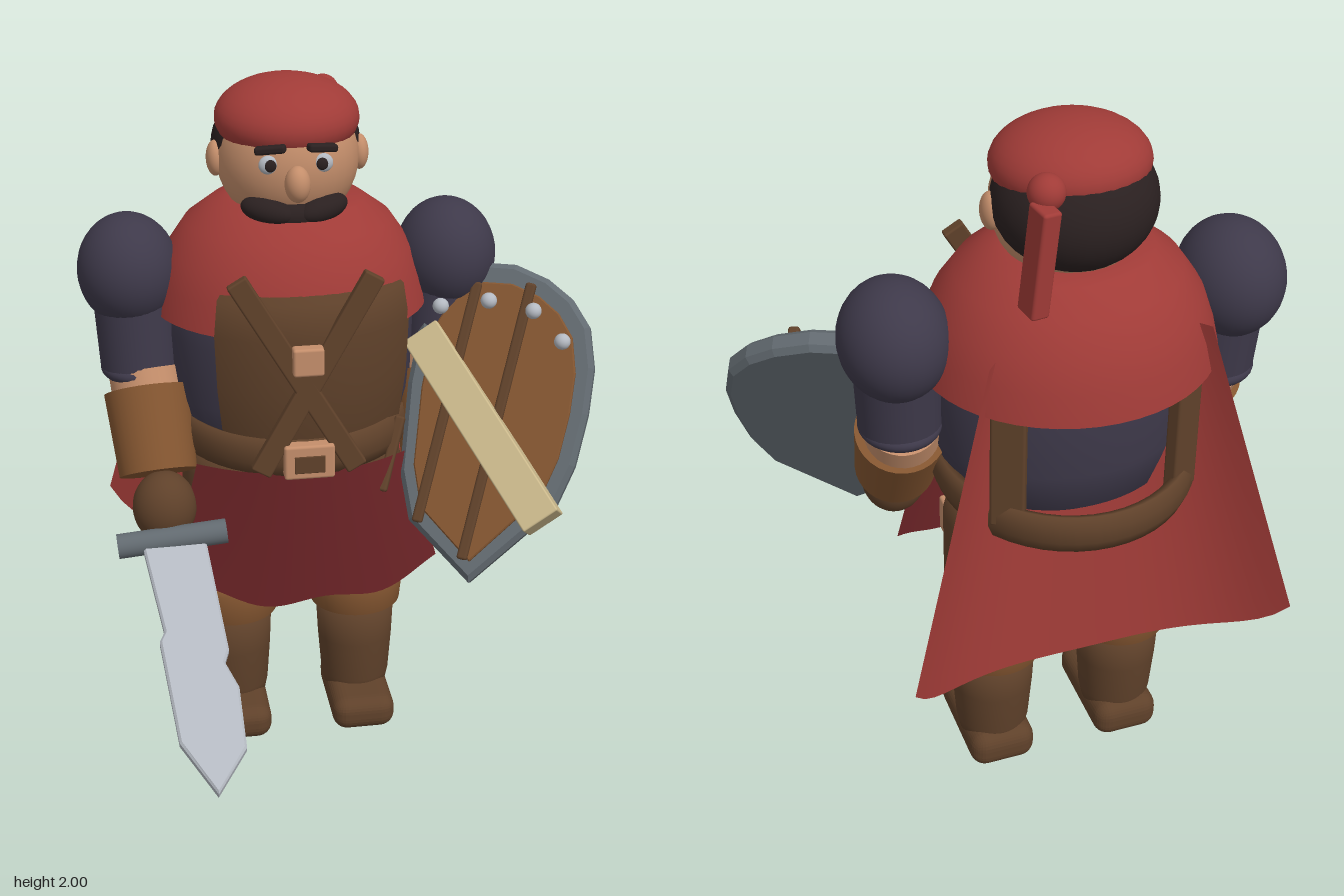
import * as THREE from 'three';
import { RoundedBoxGeometry } from 'three/addons/geometries/RoundedBoxGeometry.js';

const V = (x, y, z) => new THREE.Vector3(x, y, z);

export function createModel() {
  const paint = (name, color, side = THREE.FrontSide) => {
    const m = new THREE.MeshStandardMaterial({ color, side });
    m.name = name;
    return m;
  };
  const red = paint('red cloth', 0xa03b37, THREE.DoubleSide);
  const darkRed = paint('dark red cloth', 0x6b2326, THREE.DoubleSide);
  const purple = paint('dark purple tunic', 0x3e394a, THREE.DoubleSide);
  const brown = paint('dark leather', 0x5f412a, THREE.DoubleSide);
  const tan = paint('light leather', 0x835530);
  const skin = paint('skin', 0xc48e6b);
  const hair = paint('black hair', 0x2a2020);
  const steel = paint('light steel', 0xb4b9c1);
  const slate = paint('dark steel', 0x626a70);
  const wood = paint('pale wood', 0xcbb98c);

  const root = new THREE.Group();
  root.name = 'warrior';
  // The figure stands a little to the right of the centre line
  const body = new THREE.Group();
  body.name = 'body';
  body.position.x = -0.115;
  root.add(body);

  const add = (parent, name, geo, mat, x = 0, y = 0, z = 0) => {
    const m = new THREE.Mesh(geo, mat);
    m.name = name;
    m.position.set(x, y, z);
    parent.add(m);
    return m;
  };
  const ball = (parent, name, mat, x, y, z, rx, ry = rx, rz = rx) => {
    const m = add(parent, name, new THREE.SphereGeometry(1, 32, 20), mat, x, y, z);
    m.scale.set(rx, ry, rz);
    return m;
  };
  const box = (parent, name, mat, x, y, z, w, h, d, r = 0.008) =>
    add(parent, name, new RoundedBoxGeometry(w, h, d, 2, r), mat, x, y, z);
  // Turned part with an oval plan; points are [radius, height], bottom to top
  const turned = (parent, name, mat, pts, x, z, sx = 1, sz = 1, start = 0, length = Math.PI * 2) => {
    const m = add(parent, name, new THREE.LatheGeometry(
      pts.map(p => new THREE.Vector2(...p)), 48, start, length), mat, x, 0, z);
    m.scale.set(sx, 1, sz);
    return m;
  };
  // Place a mesh so its y axis runs from a to b
  const span = (mesh, a, b) => {
    mesh.position.copy(a).lerp(b, 0.5);
    mesh.quaternion.setFromUnitVectors(V(0, 1, 0), b.clone().sub(a).normalize());
  };
  // Tapered round limb between two points
  const limb = (parent, name, mat, a, b, ra, rb) =>
    span(add(parent, name, new THREE.CylinderGeometry(rb, ra, a.distanceTo(b), 32), mat), a, b);
  // Cloth sheet: rule maps u in -1..1 and t in 0..1 (top to hem) to a point
  const sheet = (name, mat, rule) => {
    const geo = new THREE.PlaneGeometry(2, 1, 32, 16);
    const p = geo.attributes.position;
    for (let i = 0; i < p.count; i++) p.setXYZ(i, ...rule(p.getX(i), 0.5 - p.getY(i)));
    geo.computeVertexNormals();
    return add(body, name, geo, mat);
  };

  // Torso, leather apron, mantle and belt
  turned(body, 'torso', purple, [[0, 0.93], [0.22, 0.94], [0.3, 1.0], [0.33, 1.12], [0.335, 1.3],
    [0.32, 1.45], [0.2, 1.58], [0, 1.6]], 0, -0.308, 1.04, 0.86);
  turned(body, 'apron', brown, [[0.29, 0.95], [0.325, 1.05], [0.345, 1.2], [0.352, 1.36],
    [0.336, 1.46], [0.24, 1.54]], 0, -0.326, 1.07, 1, -0.7, 1.65);
  turned(body, 'mantle', red, [[1, 1.36], [0.955, 1.44], [0.88, 1.52], [0.74, 1.6], [0.55, 1.655],
    [0.4, 1.67], [0, 1.67]], 0, -0.345, 0.392, 0.362);
  turned(body, 'belt', brown, [[0.94, 0.98], [1.02, 0.965], [1.06, 1.0], [1.06, 1.04], [1.02, 1.075],
    [0.94, 1.06], [0.94, 0.98]], 0, -0.338, 0.33, 0.354);

  // Cross straps, back straps and buckles
  for (const s of [-1, 1]) {
    const a = V(-s * 0.135, 0.99, 0.035), b = V(s * 0.187, 1.54, 0.012);
    span(box(body, 'chestStrap', brown, 0, 0, 0, 0.06, a.distanceTo(b), 0.03, 0.006), a, b);
    const backStrap = box(body, 'backStrap', brown, s * 0.235, 1.21, -0.573, 0.09, 0.4, 0.04);
    backStrap.rotation.y = -s * 0.5;
    // Small buckled strap hanging behind the skirt
    box(body, 'hangingBuckle', skin, s * 0.255, 0.725, -0.155, 0.05, 0.11, 0.04);
  }
  box(body, 'chestBuckle', skin, 0, 1.315, 0.042, 0.085, 0.08, 0.04);
  box(body, 'beltBuckle', skin, 0, 1.02, 0.035, 0.14, 0.1, 0.05);
  box(body, 'buckleCentre', brown, 0, 1.015, 0.06, 0.085, 0.05, 0.008, 0.002);

  // Front skirt and cape
  sheet('skirt', darkRed, (u, t) => [u * (0.3 + 0.09 * t),
    0.97 - t * (0.41 - 0.05 * u * u + 0.015 * Math.cos(u * 7 - 4)), 0.02 - 0.11 * u * u]);
  sheet('cape', red, (u, t) => [u * (0.29 + 0.24 * t), 1.5 - t * (1.0 - 0.04 * u * u - 0.08 * u ** 10),
    THREE.MathUtils.lerp(-0.47 - 0.09 * t, -0.585 - 0.125 * t, Math.abs(u) ** 3)]);

  // Head and face
  ball(body, 'head', skin, 0, 1.78, -0.335, 0.198, 0.2, 0.198);
  const scalp = ball(body, 'hair', hair, 0, 1.805, -0.372, 0.208, 0.168, 0.195);
  scalp.rotation.x = -0.25;
  const cap = ball(body, 'cap', red, 0, 1.888, -0.335, 0.2, 0.111, 0.193);
  cap.rotation.x = 0.08;
  ball(body, 'nose', skin, 0, 1.755, -0.128, 0.035, 0.05, 0.04);
  ball(body, 'moustacheCentre', hair, 0, 1.655, -0.168, 0.085, 0.037, 0.035);
  for (const s of [-1, 1]) {
    ball(body, 'ear', skin, s * 0.2, 1.78, -0.33, 0.026, 0.05, 0.037);
    ball(body, 'eye', steel, s * 0.073, 1.803, -0.158, 0.028, 0.026, 0.016);
    ball(body, 'pupil', hair, s * 0.07, 1.803, -0.146, 0.016, 0.017, 0.008);
    const brow = box(body, 'eyebrow', hair, s * 0.07, 1.848, -0.145, 0.085, 0.022, 0.03);
    brow.rotation.set(0, s * 0.3, -s * 0.12);
    const half = ball(body, 'moustache', hair, s * 0.075, 1.67, -0.18, 0.078, 0.037, 0.042);
    half.rotation.set(0, s * 0.45, s * 0.15);
  }
  // Cap knot with hanging ribbon
  ball(body, 'capKnot', red, 0.125, 1.91, -0.505, 0.046);
  const ribbon = box(body, 'capRibbon', red, 0.155, 1.755, -0.547, 0.05, 0.29, 0.072);
  ribbon.rotation.set(-0.05, 0.2, 0.08);

  // Arms and legs, mirrored
  for (const s of [-1, 1]) {
    const arm = new THREE.Group();
    arm.name = s > 0 ? 'leftArm' : 'rightArm';
    body.add(arm);
    ball(arm, 'shoulder', purple, s * 0.453, 1.47, -0.338, 0.142, 0.16, 0.16);
    limb(arm, 'sleeve', purple, V(s * 0.436, 1.19, -0.31), V(s * 0.445, 1.42, -0.325), 0.108, 0.112);
    ball(arm, 'sleeveEnd', purple, s * 0.436, 1.19, -0.31, 0.109, 0.045, 0.115);
    limb(arm, 'elbow', skin, V(s * 0.415, 1.08, -0.25), V(s * 0.425, 1.18, -0.295), 0.1, 0.1);
    limb(arm, 'bracer', tan, V(s * 0.405, 0.925, -0.145), V(s * 0.42, 1.13, -0.265), 0.11, 0.122);
    ball(arm, 'hand', brown, s * 0.395, 0.845, -0.09, 0.09, 0.105, 0.09);

    const leg = new THREE.Group();
    leg.name = s > 0 ? 'leftLeg' : 'rightLeg';
    leg.position.set(s * 0.19, 0, -0.335);
    body.add(leg);
    turned(leg, 'thigh', brown, [[0.11, 0.45], [0.122, 0.52], [0.134, 0.62], [0.135, 0.86],
      [0.115, 0.94], [0, 0.96]], 0, 0);
    turned(leg, 'bootCuff', tan, [[0.118, 0.37], [0.137, 0.375], [0.148, 0.475], [0.12, 0.485], [0, 0.485]], 0, 0);
    turned(leg, 'bootShaft', brown, [[0, 0.04], [0.09, 0.05], [0.104, 0.12], [0.114, 0.25], [0.12, 0.38], [0, 0.4]], 0, 0);
    const footGeo = new RoundedBoxGeometry(0.19, 0.11, 0.335, 4, 0.045);
    const p = footGeo.attributes.position;
    // Toes slope down
    for (let i = 0; i < p.count; i++) if (p.getY(i) > 0) p.setY(i, p.getY(i) * (1 - 0.8 * p.getZ(i)));
    footGeo.computeVertexNormals();
    add(leg, 'foot', footGeo, brown, 0, 0.058, 0.042);
  }

  // Sword
  const sword = new THREE.Group();
  sword.name = 'sword';
  root.add(sword);
  const outline = pts => new THREE.Shape(pts.map(q => new THREE.Vector2(...q)));
  const bladeShape = outline([[-0.575, 0], [-0.54, 0.28], [-0.555, 0.31], [-0.53, 0.62], [-0.45, 0.77],
    [-0.37, 0.65], [-0.37, 0.47], [-0.4, 0.39], [-0.385, 0.35], [-0.41, 0]]);
  const blade = add(sword, 'blade', new THREE.ExtrudeGeometry(bladeShape, {
    depth: 0.018, bevelEnabled: true, bevelThickness: 0.006, bevelSize: 0.006, bevelSegments: 1 }),
  steel, 0, 0.777, 0.028);
  blade.rotation.x = THREE.MathUtils.degToRad(117);
  limb(sword, 'crossGuard', slate, V(-0.65, 0.775, 0), V(-0.345, 0.8, 0), 0.035, 0.035);
  limb(sword, 'grip', brown, V(-0.5, 0.87, -0.17), V(-0.5, 0.785, 0), 0.03, 0.03);

  // Shield, built in its own plane
  const shield = new THREE.Group();
  shield.name = 'shield';
  const up = V(0.31, 0.88, -0.365).normalize();
  const face = V(-0.35, 0.46, 0.81);
  const across = up.clone().cross(face).normalize();
  face.crossVectors(across, up);
  shield.quaternion.setFromRotationMatrix(new THREE.Matrix4().makeBasis(across, up, face));
  shield.position.set(0.42, 1.06, -0.05);
  root.add(shield);
  const rim = [[-0.14, 0.43], [-0.04, 0.445], [0.06, 0.425], [0.14, 0.385], [0.205, 0.32], [0.245, 0.21],
    [0.26, 0.08], [0.26, -0.07], [0.235, -0.2], [0.05, -0.46], [-0.16, -0.33], [-0.22, -0.2],
    [-0.26, 0.05], [-0.27, 0.25], [-0.23, 0.36]];
  const slab = (name, mat, pts, depth, z, bevel) => add(shield, name, new THREE.ExtrudeGeometry(outline(pts), {
    depth, bevelEnabled: true, bevelThickness: bevel, bevelSize: bevel, bevelOffset: -bevel, bevelSegments: 1 }), mat, 0, 0, z);
  slab('shieldPlate', slate, rim, 0.035, -0.03, 0.015);
  slab('shieldBoards', tan, rim.map(([x, y]) => [x * 0.82, y * 0.87]), 0.015, 0.018, 0.004);
  for (const [x, y, h] of [[-0.13, 0.02, 0.7], [0.02, 0, 0.8], [-0.25, -0.16, 0.22]])
    box(shield, 'shieldBatten', brown, x, y, 0.038, 0.03, h, 0.025);
  for (const [x, y] of [[-0.215, 0.28], [-0.085, 0.325], [0.045, 0.325], [0.145, 0.26]])
    ball(shield, 'stud', steel, x, y, 0.045, 0.023);
  const beam = box(shield, 'shieldBeam', wood, -0.012, -0.025, 0.062, 0.112, 0.65, 0.09, 0.005);
  beam.rotation.set(-0.13, 0, 0.83, 'ZXY');

  return root;
}
